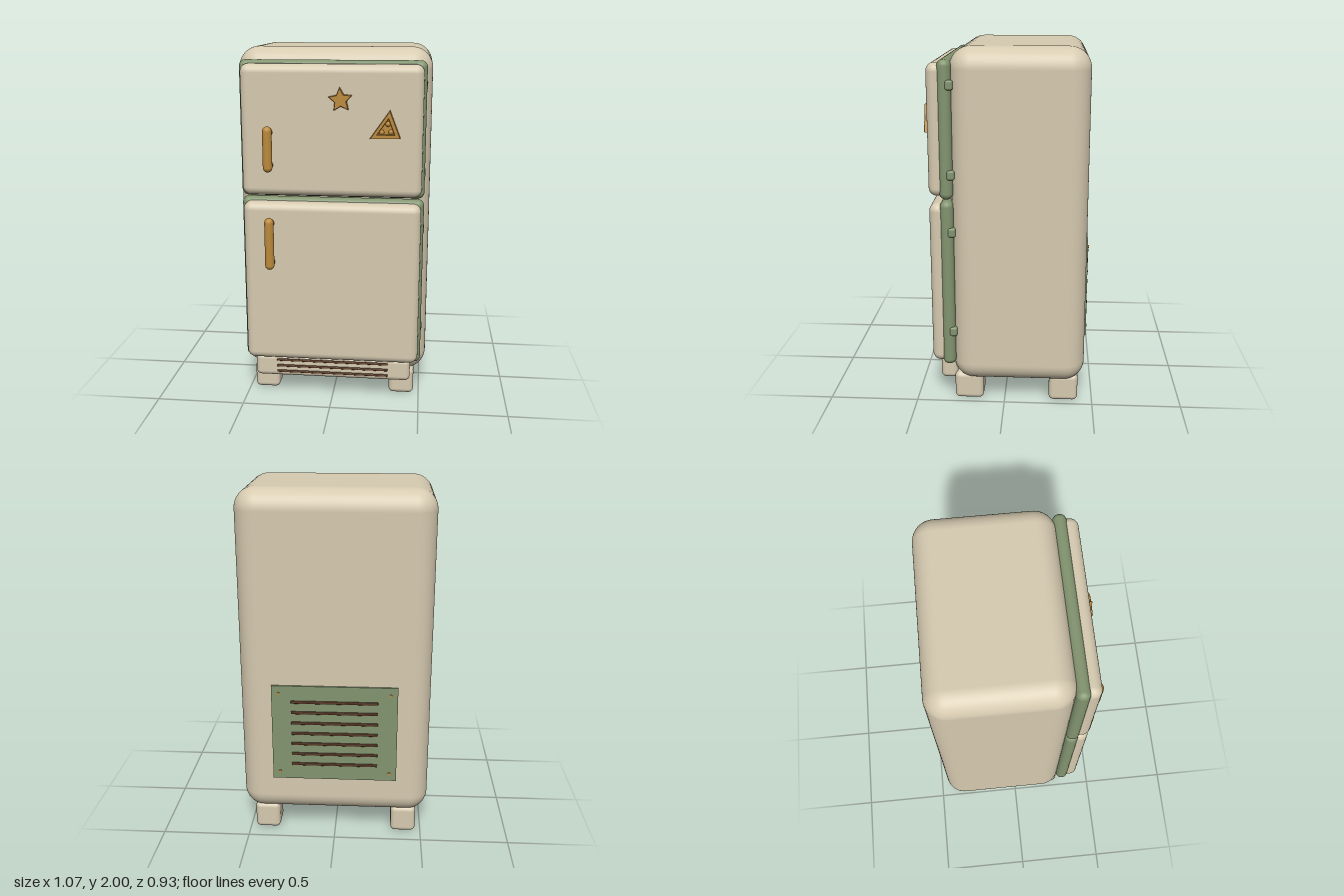
import * as THREE from 'three';
import { RoundedBoxGeometry } from 'three/addons/geometries/RoundedBoxGeometry.js';

const material = (name, color) => {
  const m = new THREE.MeshStandardMaterial({ color });
  m.name = name;
  return m;
};

export function createModel() {
  const cream = material('cream enamel', 0xd6cab0);
  const green = material('sage green', 0x82946f);
  const brass = material('brass', 0xbd8a3c);
  const brown = material('dark brown', 0x5c3a24);

  const model = new THREE.Group();
  model.name = 'refrigerator';

  const add = (name, geometry, mat, parent = model) => {
    const mesh = new THREE.Mesh(geometry, mat);
    mesh.name = name;
    parent.add(mesh);
    return mesh;
  };
  // Rounded box given by its extents on each axis
  const block = (name, mat, [x0, x1], [y0, y1], [z0, z1], r, parent, seg = 4) => {
    const mesh = add(name, new RoundedBoxGeometry(x1 - x0, y1 - y0, z1 - z0, seg, r), mat, parent);
    mesh.position.set((x0 + x1) / 2, (y0 + y1) / 2, (z0 + z1) / 2);
    return mesh;
  };
  const group = (name) => {
    const g = new THREE.Group();
    g.name = name;
    model.add(g);
    return g;
  };

  // Cabinet
  block('cabinet', cream, [-0.533, 0.533], [0.13, 2], [-0.45, 0.288], 0.115, model, 8);

  // Feet
  for (const x of [-0.397, 0.397])
    for (const z of [0.203, -0.335])
      block('foot', cream, [x - 0.072, x + 0.072], [0, 0.16], [z - 0.082, z + 0.082], 0.028);

  // Doors with gasket, hinges and handle
  const doors = [
    { name: 'freezerDoor', y: [1.192, 1.935], hinges: [1.805, 1.33], handle: [1.345, 1.593] },
    { name: 'mainDoor', y: [0.225, 1.185], hinges: [1.012, 0.432], handle: [0.795, 1.09] },
  ];
  for (const d of doors) {
    const door = group(d.name);
    const [y0, y1] = d.y;
    block('gasket', green, [-0.506, 0.504], [y0, y1], [0.274, 0.347], 0.034, door);
    block('doorPanel', cream, [-0.491, 0.489], [y0 + 0.014, y1 - 0.018], [0.295, 0.408], 0.045, door, 6);
    for (const y of d.hinges)
      block('hinge', green, [0.455, 0.508], [y - 0.026, y + 0.026], [0.262, 0.305], 0.012, door);

    const [h0, h1] = d.handle;
    const r = 0.026;
    const bar = add('handleBar', new THREE.CapsuleGeometry(r, h1 - h0 - 2 * r, 6, 16), brass, door);
    bar.position.set(-0.338, (h0 + h1) / 2, 0.44);
    for (const y of [h0 + 0.036, h1 - 0.036]) {
      const mount = add('handleMount', new THREE.CylinderGeometry(0.024, 0.024, 0.045, 16), brass, door);
      mount.rotation.x = Math.PI / 2;
      mount.position.set(-0.338, y, 0.416);
    }
  }

  // Kick plate with three dark slats
  const kick = group('kickPlate');
  block('kickPanel', cream, [-0.448, 0.448], [0.115, 0.25], [0.27, 0.366], 0.03, kick);
  for (const y of [0.15, 0.184, 0.22])
    block('kickSlat', brown, [-0.322, 0.322], [y - 0.0065, y + 0.0065], [0.355, 0.374], 0.005, kick, 2);

  // Star magnet
  const extrude = (shape, depth, bevel = 0.003) =>
    new THREE.ExtrudeGeometry(shape, {
      depth, bevelEnabled: true, bevelThickness: bevel, bevelSize: bevel, bevelOffset: -bevel, bevelSegments: 1,
    });
  const starPoints = [];
  for (let i = 0; i < 10; i++) {
    const a = (94 + i * 36) * Math.PI / 180;
    const r = i % 2 ? 0.033 : 0.066;
    starPoints.push(new THREE.Vector2(r * Math.cos(a), r * Math.sin(a)));
  }
  const star = add('starMagnet', extrude(new THREE.Shape(starPoints), 0.027), brass);
  star.position.set(0.053, 1.735, 0.404);

  // Triangle magnet: raised rim around a recessed plate with bumps
  const magnet = group('triangleMagnet');
  const corners = [[-0.085, -0.052], [0.077, -0.05], [0.02, 0.098]];
  const triangle = (s, T) =>
    new T(corners.map(([x, y]) => new THREE.Vector2(0.004 + (x - 0.004) * s, -0.001 + (y + 0.001) * s)));
  const rim = triangle(1, THREE.Shape);
  rim.holes.push(triangle(0.56, THREE.Path));
  add('triangleRim', extrude(rim, 0.03), brass, magnet);
  add('trianglePlate', extrude(triangle(0.7, THREE.Shape), 0.012), brass, magnet);
  for (const [x, y] of [[-0.022, -0.018], [0.026, -0.016], [0.01, 0.026]]) {
    const bump = add('triangleBump', new THREE.IcosahedronGeometry(0.014, 1), brass, magnet);
    bump.position.set(x, y, 0.017);
  }
  magnet.position.set(0.294, 1.586, 0.405);

  // Rear vent panel with slats and corner screws
  const vent = group('rearVent');
  const cy = 0.645;
  const panel = add('ventPanel', new THREE.BoxGeometry(0.7, 0.57, 0.02), green, vent);
  panel.position.set(0, cy, -0.45);
  for (let i = -3; i <= 3; i++)
    block('ventSlat', brown, [-0.242, 0.242], [cy + i * 0.0635 - 0.008, cy + i * 0.0635 + 0.008],
      [-0.468, -0.452], 0.004, vent, 2);
  for (const sx of [-1, 1])
    for (const sy of [-1, 1]) {
      const screw = add('ventScrew', new THREE.CylinderGeometry(0.008, 0.008, 0.012, 12), brass, vent);
      screw.rotation.x = Math.PI / 2;
      screw.position.set(sx * 0.31, cy + sy * 0.24, -0.46);
    }

  return model;
}
